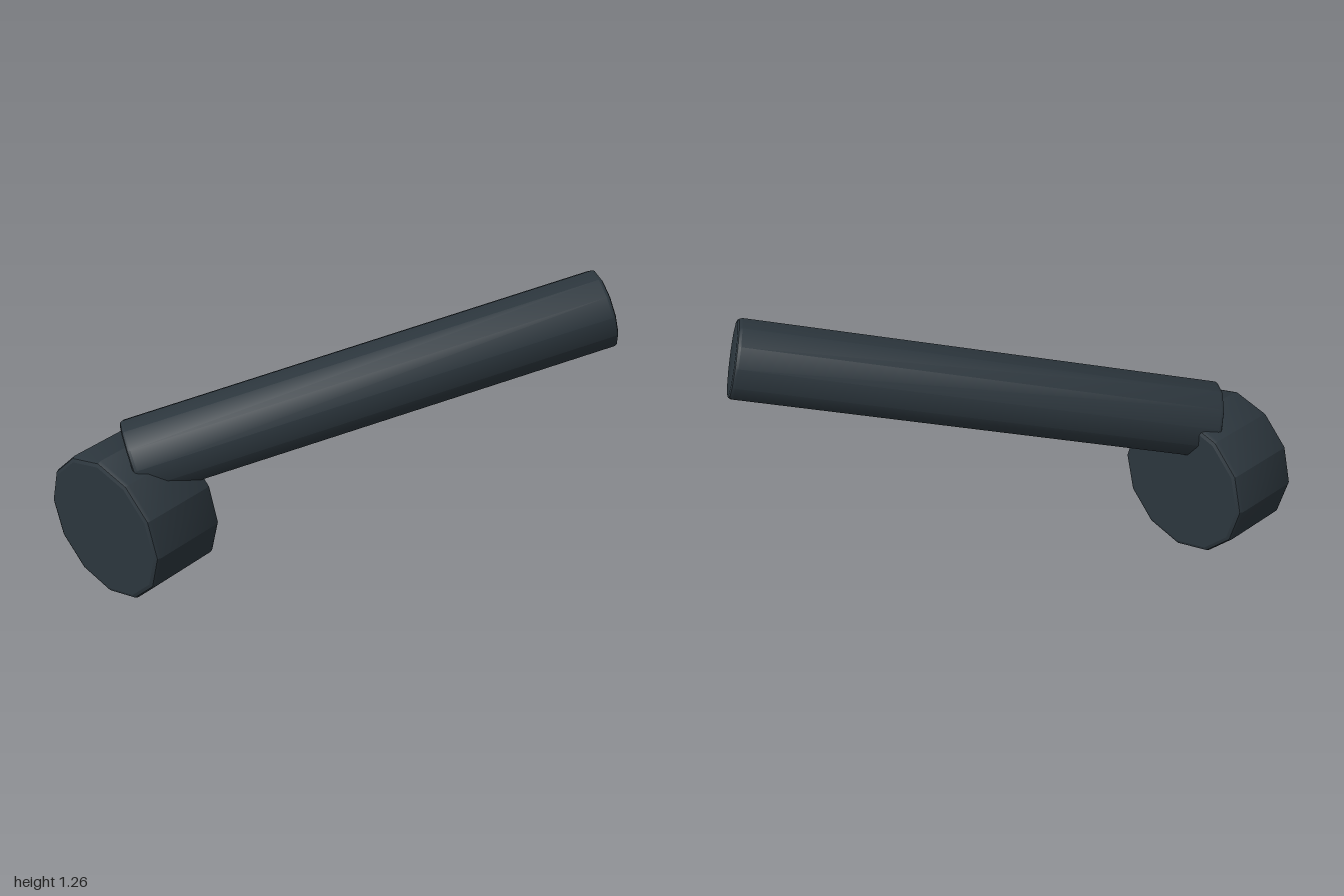
import * as THREE from 'three';
import { toCreasedNormals } from 'three/addons/utils/BufferGeometryUtils.js';

// Twelve-sided cylinder along y with small rounded rims
function bevelledCylinder(radius, length, bevel, crease) {
  const h = length / 2;
  const k = bevel * 0.3;
  const profile = [
    [0, -h], [radius - bevel, -h], [radius - k, -h + k], [radius, -h + bevel],
    [radius, h - bevel], [radius - k, h - k], [radius - bevel, h], [0, h],
  ].map(([x, y]) => new THREE.Vector2(x, y));
  const geometry = new THREE.LatheGeometry(profile, 12);
  return { geometry, finish: () => toCreasedNormals(geometry, crease) };
}

export function createModel() {
  const model = new THREE.Group();
  model.name = 'handle';
  const darkSlate = new THREE.MeshStandardMaterial({ color: 0x2c363d });
  darkSlate.name = 'darkSlate';

  // Faceted hub lying along x
  const hubShape = bevelledCylinder(0.34, 0.37, 0.022, 0.4);
  hubShape.geometry.rotateZ(-Math.PI / 2);
  const hub = new THREE.Mesh(hubShape.finish(), darkSlate);
  hub.name = 'hub';
  hub.position.set(-0.815, 0.34, -0.52);
  model.add(hub);

  // Smooth-sided bar rising from the hub towards the front left
  const start = new THREE.Vector3(-0.81, 0.605, -0.52);
  const end = new THREE.Vector3(0.89, 1.095, 0.715);
  const barShape = bevelledCylinder(0.178, start.distanceTo(end), 0.018, 0.6);
  barShape.geometry.rotateY(Math.PI / 12).rotateX(Math.PI / 2);
  const bar = new THREE.Mesh(barShape.finish(), darkSlate);
  bar.name = 'bar';
  bar.position.copy(start).lerp(end, 0.5);
  bar.lookAt(end);
  model.add(bar);

  return model;
}
